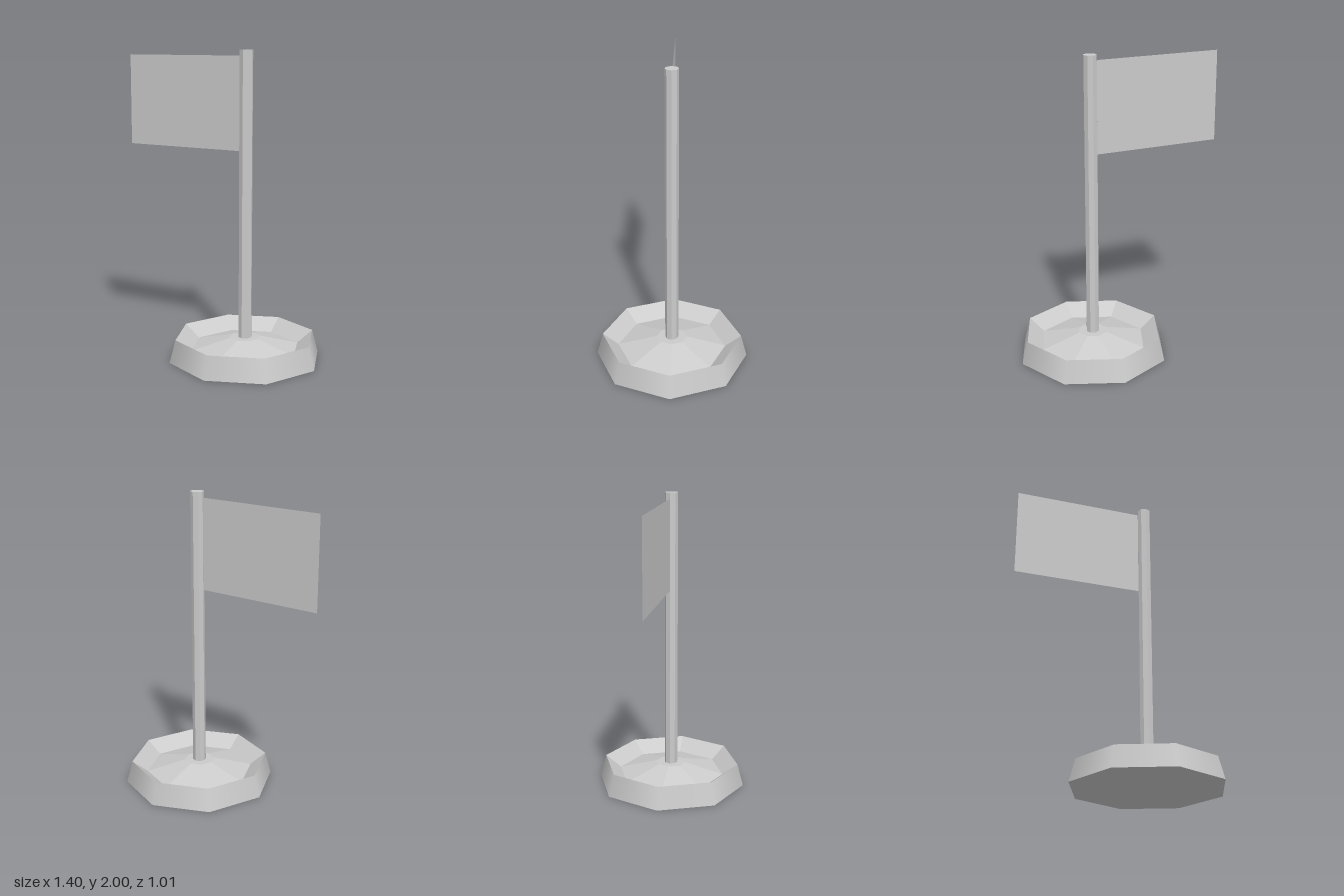
import * as THREE from 'three';

const POLE_X = 0.195;
const SIDES = 8;

const smooth = new THREE.MeshStandardMaterial({ color: 0xcccccc });
const flat = new THREE.MeshStandardMaterial({ color: 0xcccccc, flatShading: true });
const cloth = new THREE.MeshStandardMaterial({ color: 0xcccccc, side: THREE.DoubleSide });

// Eight-sided surface turned from a list of [radius, height] points
function turned(name, profile, material) {
  const points = profile.map(([r, y]) => new THREE.Vector2(r, y));
  const mesh = new THREE.Mesh(new THREE.LatheGeometry(points, SIDES), material);
  mesh.name = name;
  return mesh;
}

export function createModel() {
  const model = new THREE.Group();
  model.name = 'flagOnStand';

  // Stand: tapered outer wall, flat underside, dished top with a raised centre
  const base = new THREE.Group();
  base.name = 'base';
  base.position.x = POLE_X;
  base.add(
    turned('baseWall', [[0.505, 0], [0.465, 0.15]], smooth),
    turned('baseUnderside', [[0, 0], [0.505, 0]], flat),
    turned('baseDish', [[0.465, 0.15], [0.36, 0.07], [0.1, 0.14], [0, 0.14]], flat),
  );
  model.add(base);

  // Pole
  const poleBottom = 0.13, poleTop = 2;
  const pole = new THREE.Mesh(
    new THREE.CylinderGeometry(0.044, 0.044, poleTop - poleBottom, SIDES), flat);
  pole.name = 'pole';
  pole.position.set(POLE_X, (poleTop + poleBottom) / 2, 0);
  model.add(pole);

  // Flag: a single flat sheet reaching from the pole toward -x
  const flag = new THREE.Mesh(new THREE.PlaneGeometry(0.855, 0.6), cloth);
  flag.name = 'flag';
  flag.position.set(-0.2775, 1.663, 0);
  model.add(flag);

  return model;
}
